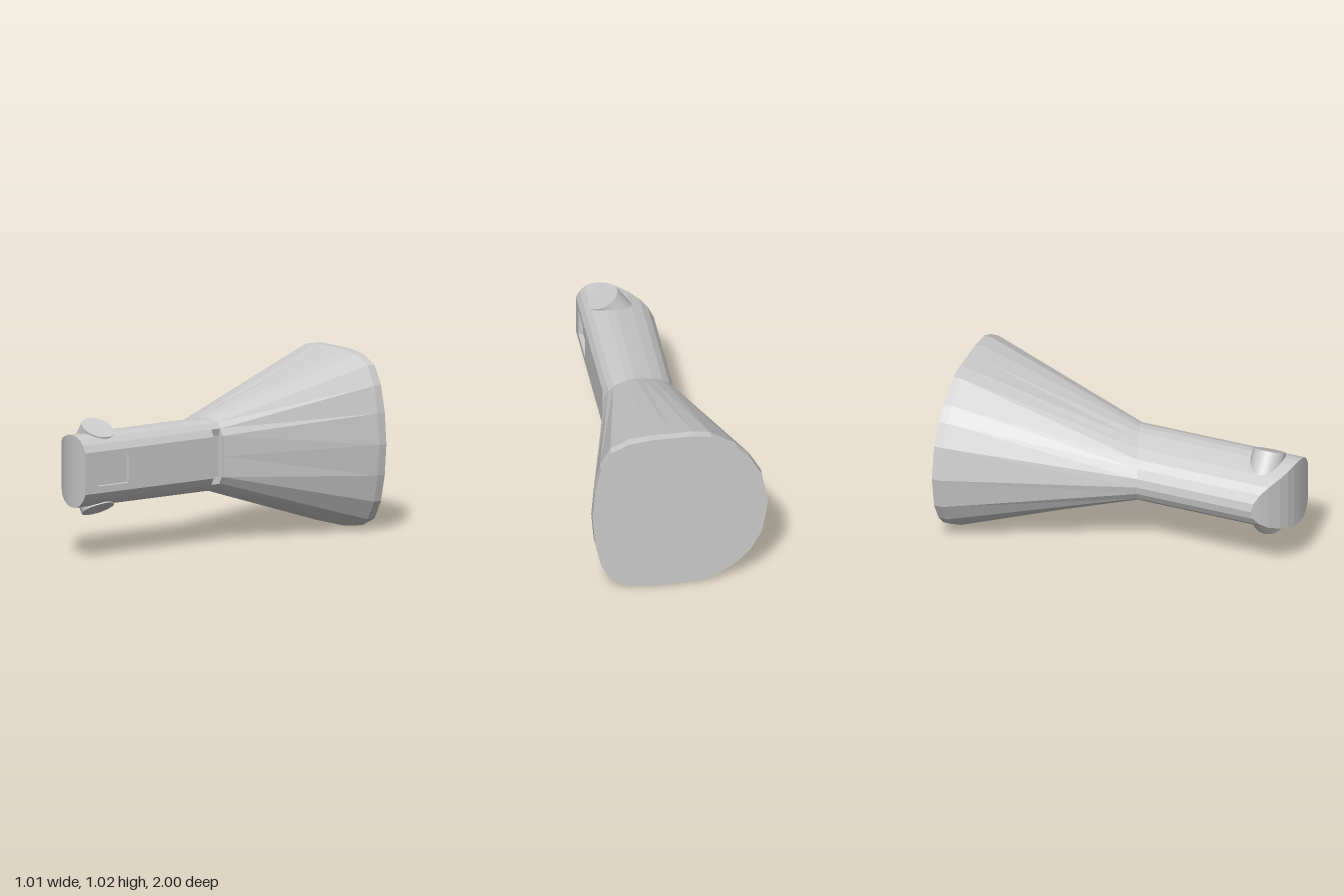
import * as THREE from 'three';
import { toCreasedNormals } from 'three/addons/utils/BufferGeometryUtils.js';

const MID = 0.51; // height of the horizontal symmetry plane

// Upper half outlines, from the -x tip over the top to the +x middle: [x, height above MID]
const TUBE = [[-0.16, 0], [-0.15, 0.05], [-0.12, 0.1], [-0.08, 0.135], [-0.015, 0.168], [0.04, 0.188],
  [0.09, 0.204], [0.14, 0.21], [0.18, 0.206], [0.22, 0.19], [0.25, 0.16], [0.272, 0.12], [0.272, 0]];
const FLARE = [[-0.51, 0], [-0.475, 0.2], [-0.405, 0.325], [-0.33, 0.4], [-0.18, 0.495], [-0.085, 0.51],
  [0.04, 0.51], [0.165, 0.51], [0.29, 0.495], [0.395, 0.445], [0.455, 0.335], [0.49, 0.18], [0.505, 0]];
const LAST = TUBE.length - 1;
const COUNT = LAST * 2;

// Full closed ring from a half outline; zAt gives the depth, inset pulls points inward
function ring(half, zAt, inset = () => 0) {
  return Array.from({ length: COUNT }, (_, i) => {
    const k = i <= LAST ? i : COUNT - i;
    const [x, h] = half[k];
    return [x - inset(k), (i <= LAST ? h : -h) + MID, zAt(x, k)];
  });
}

function meshFrom(name, triangles, material) {
  const geometry = new THREE.BufferGeometry();
  geometry.setAttribute('position', new THREE.Float32BufferAttribute(triangles.flat(), 3));
  geometry.computeVertexNormals();
  return named(name, geometry, material);
}

function named(name, geometry, material) {
  const mesh = new THREE.Mesh(geometry, material);
  mesh.name = name;
  return mesh;
}

// Skin between successive rings, front to back
function loft(rings, skip = () => false) {
  const out = [];
  for (let r = 0; r < rings.length - 1; r++) {
    for (let i = 0; i < COUNT; i++) {
      if (skip(i)) continue;
      const j = (i + 1) % COUNT;
      const [a, b, c, d] = [rings[r][i], rings[r][j], rings[r + 1][j], rings[r + 1][i]];
      out.push(a, b, c, a, c, d);
    }
  }
  return out;
}

// Cap made of vertical strips between the upper and lower halves
function cap(points, facingFront) {
  const out = [];
  for (let i = 0; i < LAST; i++) {
    const [a, b] = [points[i], points[i + 1]];
    const [c, d] = [points[(COUNT - i) % COUNT], points[COUNT - i - 1]];
    if (facingFront) out.push(a, c, d, a, d, b);
    else out.push(a, d, c, a, b, d);
  }
  return out;
}

export function createModel() {
  const group = new THREE.Group();
  const flat = new THREE.MeshStandardMaterial({ color: 0xcccccc, flatShading: true });
  const smooth = new THREE.MeshStandardMaterial({ color: 0xcccccc });

  // Rounded front end and slanted line where the flare begins
  const frontZ = (x) => 1 - 0.18 * Math.pow(Math.max(0, 1 - (x + 0.16) / 0.4), 2.5);
  const seamZ = (x) => Math.max(0, 0.12 - 0.34 * (x + 0.16));
  const grooveZ = (z) => (x, k) => (k >= 10 ? z : seamZ(x));
  const grooveDepth = (k) => (k >= 11 ? 0.03 : 0);

  const front = ring(TUBE, frontZ);
  const grooveFront = ring(TUBE, grooveZ(0.07));
  const grooveBack = ring(TUBE, grooveZ(0.01));
  const seam = ring(TUBE, seamZ);
  const rim = ring(FLARE, () => -0.95);
  const end = ring(FLARE, () => -1);

  // Handle: the flat side is left open for the panel
  const isFlatSide = (i) => i === LAST - 1 || i === LAST;
  group.add(meshFrom('handle', loft([front, grooveFront], isFlatSide), flat));
  group.add(meshFrom('handleEnd', cap(front, true), flat));

  // Groove across the flat side
  group.add(meshFrom('groove', loft([
    grooveFront,
    ring(TUBE, grooveZ(0.07), grooveDepth),
    ring(TUBE, grooveZ(0.01), grooveDepth),
    grooveBack,
    seam,
  ]), flat));

  // Flared body with a short straight rim and flat back
  group.add(meshFrom('flare', loft([seam, rim]), flat));
  group.add(meshFrom('rim', loft([rim, end]), flat));
  group.add(meshFrom('backFace', cap(end, false), flat));

  // Flat side panel with a window recess
  const panel = new THREE.Shape([[-1, -0.12], [-0.07, -0.12], [-0.07, 0.12], [-1, 0.12]]
    .map(([x, y]) => new THREE.Vector2(x, y)));
  panel.holes.push(new THREE.Path([[-0.91, -0.08], [-0.91, 0.085], [-0.685, 0.085], [-0.685, -0.08]]
    .map(([x, y]) => new THREE.Vector2(x, y))));
  const panelGeometry = new THREE.ExtrudeGeometry(panel, { depth: 0.03, bevelEnabled: false });
  panelGeometry.rotateY(Math.PI / 2).translate(0.242, MID, 0);
  group.add(named('sidePanel', panelGeometry, flat));
  const floor = new THREE.BoxGeometry(0.01, 0.18, 0.24).translate(0.24, MID, 0.8);
  group.add(named('windowFloor', floor, flat));

  // Slanted round buttons, mirrored above and below
  for (const side of [1, -1]) {
    const peg = new THREE.CylinderGeometry(0.096, 0.096, 0.15, 32).translate(0, -0.075, 0);
    const p = peg.attributes.position;
    for (let i = 0; i < p.count; i++) p.setX(i, p.getX(i) + 0.13 * p.getY(i));
    peg.rotateZ(-0.5).translate(0.149, 0.235, 0.813);
    const button = named(side > 0 ? 'upperButton' : 'lowerButton', toCreasedNormals(peg, 0.6), smooth);
    button.scale.y = side;
    button.position.y = MID;
    group.add(button);
  }
  return group;
}
